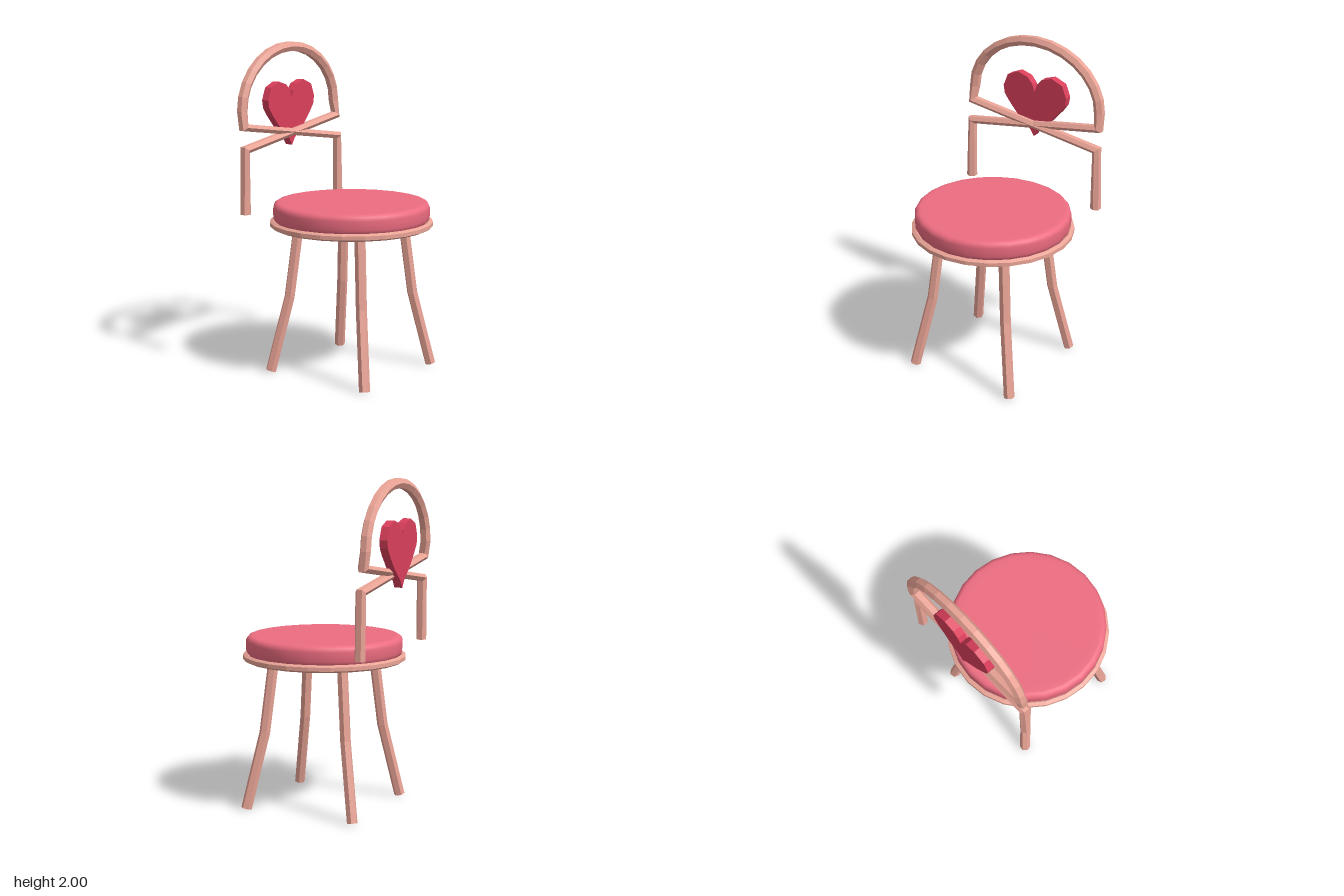
import * as THREE from 'three';

const rose = new THREE.MeshStandardMaterial({ color: 0xeaa496, flatShading: true });
const pink = new THREE.MeshStandardMaterial({ color: 0xec6c80 });
const red = new THREE.MeshStandardMaterial({ color: 0xda3f5b, flatShading: true });

const V = (x, y, z) => new THREE.Vector3(x, y, z);

// Hexagonal bar swept along points; binormal is normal to the plane of the bend
function hexBar(points, binormal, r) {
  const last = points.length - 1;
  const rings = points.map((p, i) => {
    const before = p.clone().sub(points[Math.max(i - 1, 0)]).normalize();
    const after = points[Math.min(i + 1, last)].clone().sub(p).normalize();
    const side = before.add(after).cross(binormal).normalize();
    return Array.from({ length: 6 }, (_, k) => {
      const a = k * Math.PI / 3;
      return p.clone().addScaledVector(binormal, r * Math.cos(a)).addScaledVector(side, r * Math.sin(a));
    });
  });
  const tris = [];
  for (let k = 0; k < 6; k++) {
    const n = (k + 1) % 6;
    for (let i = 0; i < last; i++) {
      const [a, b, c, d] = [rings[i][k], rings[i][n], rings[i + 1][n], rings[i + 1][k]];
      tris.push(a, b, c, a, c, d);
    }
    // End caps
    tris.push(points[0], rings[0][n], rings[0][k], points[last], rings[last][k], rings[last][n]);
  }
  const g = new THREE.BufferGeometry().setFromPoints(tris);
  g.computeVertexNormals();
  return g;
}

function lathe(profile) {
  return new THREE.LatheGeometry(profile.map(([x, y]) => new THREE.Vector2(x, y)), 24);
}

export function createModel() {
  const model = new THREE.Group();
  const add = (name, geometry, material) => {
    const mesh = new THREE.Mesh(geometry, material);
    mesh.name = name;
    model.add(mesh);
    return mesh;
  };

  // Seat base with a faceted rim
  add('seatBase', lathe([
    [0, 0.911], [0.457, 0.911], [0.477, 0.9], [0.497, 0.911],
    [0.497, 0.934], [0.477, 0.945], [0.457, 0.934], [0, 0.934],
  ]), rose).position.z = 0.003;

  // Round cushion with a soft edge
  const edge = [[0.455, 0.93], [0.468, 0.942], [0.476, 0.962], [0.477, 0.995]];
  for (let i = 0; i <= 5; i++) {
    const a = i / 5 * Math.PI / 2;
    edge.push([0.442 + 0.035 * Math.cos(a), 1.016 + 0.037 * Math.sin(a)]);
  }
  add('cushion', lathe([...edge, [0.41, 1.054], [0, 1.054]]), pink).position.z = 0.003;

  // Four bent, splayed legs
  for (const sx of [1, -1]) {
    for (const sz of [1, -1]) {
      const at = (d, y) => V(sx * d, y, sz * d + 0.003);
      const path = [at(0.354, 0.008), at(0.27, 0.47), at(0.227, 0.925)];
      add(`${sz > 0 ? 'front' : 'back'}${sx > 0 ? 'Left' : 'Right'}Leg`,
        hexBar(path, V(sx, 0, -sz).normalize(), 0.033), rose);
    }
  }

  // Back frame: post, crossing bar, arch, crossing bar, post
  const path = [V(0.461, 0.99, -0.445), V(0.454, 1.378, -0.445), V(-0.454, 1.512, -0.455)];
  for (let i = 0; i <= 14; i++) {
    const a = Math.PI * (1 - i / 14);
    path.push(V(0.449 * Math.cos(a), 1.605 + 0.367 * Math.sin(a), -0.47));
  }
  path.push(V(0.454, 1.512, -0.459), V(-0.454, 1.378, -0.447), V(-0.461, 0.99, -0.445));
  add('backFrame', hexBar(path, V(0, 0, 1), 0.033), rose);

  // Faceted heart behind the crossing bars
  const half = [[0.028, 1.405], [0.11, 1.475], [0.185, 1.56], [0.217, 1.605], [0.225, 1.655],
    [0.195, 1.73], [0.12, 1.762], [0.05, 1.74], [0.016, 1.7]];
  const outline = [[0, 1.362], ...half, [0, 1.655], ...half.map(([x, y]) => [-x, y]).reverse()];
  const heart = new THREE.Shape(outline.map(([x, y]) => new THREE.Vector2(x, y)));
  add('heart', new THREE.ExtrudeGeometry(heart, { depth: 0.05, bevelEnabled: false }), red).position.z = -0.505;

  return model;
}
